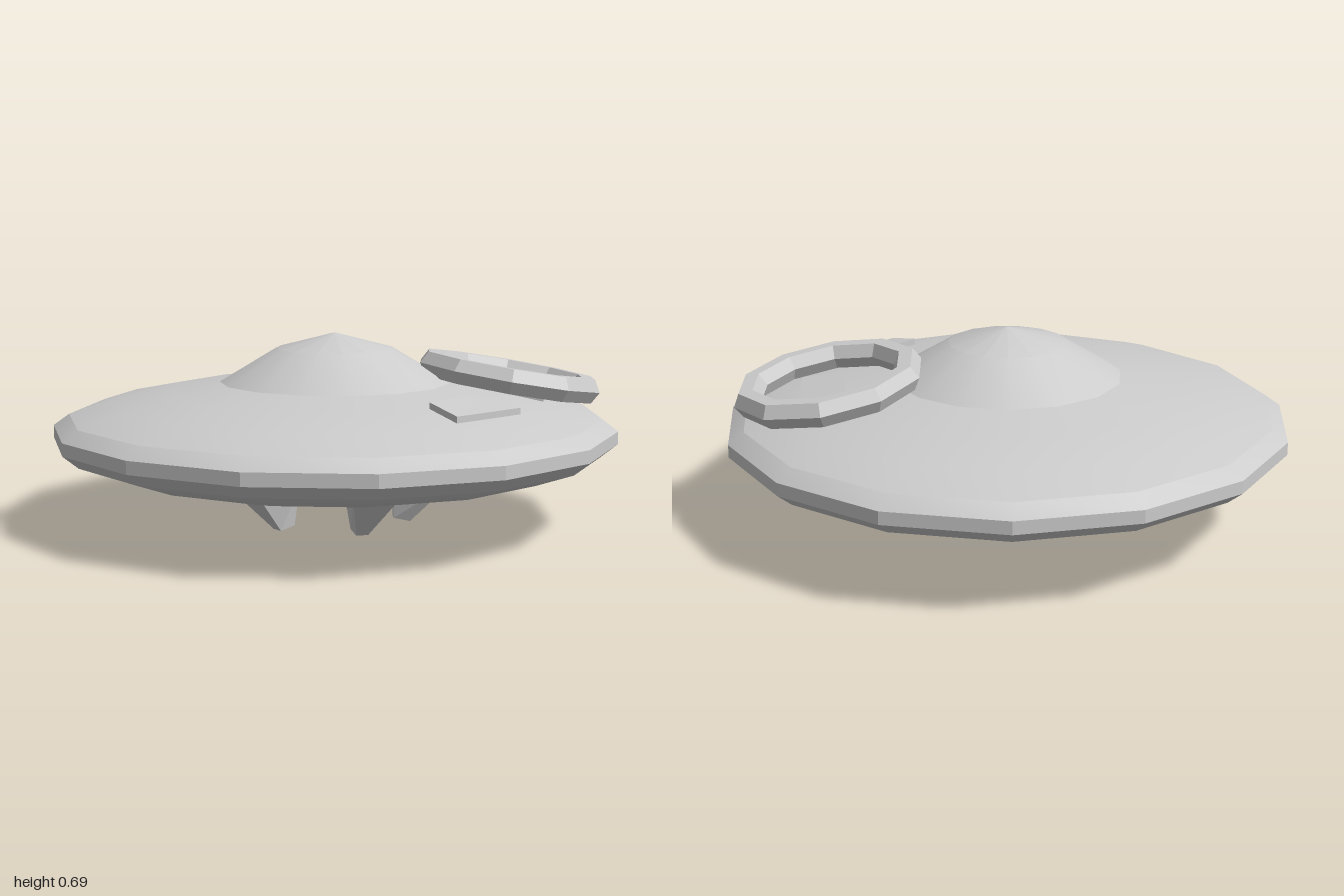
import * as THREE from 'three';
import { toCreasedNormals } from 'three/addons/utils/BufferGeometryUtils.js';

const SIDES = 15;
const CX = -0.011;
const UPPER = [[1.0055, 0.355], [0.95, 0.395], [0.81, 0.44], [0.61, 0.48], [0.41, 0.51]];

// Height of the upper hull at a given plan position
function hullHeight(x, z) {
  const r = Math.hypot(x - CX, z);
  for (let i = 0; i < UPPER.length - 1; i++) {
    const [r0, y0] = UPPER[i], [r1, y1] = UPPER[i + 1];
    if (r <= r0 && r >= r1) return y0 + (y1 - y0) * (r0 - r) / (r0 - r1);
  }
  return 0.51;
}

export function createModel() {
  const group = new THREE.Group();
  const smooth = new THREE.MeshStandardMaterial({ color: 0xcccccc });
  const flat = new THREE.MeshStandardMaterial({ color: 0xcccccc, flatShading: true });

  const add = (name, geometry, material) => {
    const mesh = new THREE.Mesh(geometry, material);
    mesh.name = name;
    group.add(mesh);
    return mesh;
  };

  // Saucer: underside recess, lower hull, rim band, upper hull and dome
  const profile = [
    [0, 0.33], [0.38, 0.33], [0.41, 0.15],
    [0.62, 0.175], [0.81, 0.215], [0.95, 0.265], [1.0055, 0.31],
    ...UPPER,
    [0.21, 0.63], [0, 0.685],
  ].map(([r, y]) => new THREE.Vector2(r, y));
  const saucer = new THREE.LatheGeometry(profile, SIDES, Math.PI / 2);
  add('saucerHull', toCreasedNormals(saucer, 0.3), smooth).position.x = CX;

  // Five tapered landing legs, reaching up into the recess
  const legSections = [
    { y: 0, inner: 0.205, outer: 0.265, wIn: 0.022, wOut: 0.022 },
    { y: 0.15, inner: 0.2, outer: 0.405, wIn: 0.045, wOut: 0.085 },
    { y: 0.33, inner: 0.2, outer: 0.37, wIn: 0.045, wOut: 0.085 },
  ];
  const legGeometry = new THREE.BoxGeometry(2, 2, 2, 1, 2, 1);
  const pos = legGeometry.attributes.position;
  for (let i = 0; i < pos.count; i++) {
    const s = legSections[Math.round(pos.getY(i)) + 1];
    const outside = pos.getX(i) > 0;
    const lift = s.y === 0 && !outside ? 0.012 : 0;
    pos.setXYZ(i, outside ? s.outer : s.inner, s.y + lift,
      Math.sign(pos.getZ(i)) * (outside ? s.wOut : s.wIn));
  }
  for (let k = 0; k < 5; k++) {
    const leg = add('landingLeg' + (k + 1), legGeometry, flat);
    leg.position.x = CX + 0.008;
    leg.rotation.y = -(12 + 72 * k) * Math.PI / 180;
  }

  // Tilted ring resting on the hull
  const ringGeometry = new THREE.TorusGeometry(0.29, 0.05, 6, 10);
  ringGeometry.rotateX(-Math.PI / 2);
  const ring = add('tiltedRing', ringGeometry, flat);
  ring.position.set(0.62, 0.52, 0.077);
  ring.rotation.z = -0.17;

  // Thin hatch panels following the slope; corners go round in plan
  const panels = {
    frontPanel: [[0.39, 0.44], [0.49, 0.56], [0.22, 0.71], [0.17, 0.57]],
    ringPanel: [[0.58, 0], [0.74, 0], [0.67, 0.3], [0.53, 0.24]],
  };
  for (const [name, corners] of Object.entries(panels)) {
    const points = [];
    for (const offset of [-0.02, 0.022]) {
      for (const [x, z] of corners) points.push(x, hullHeight(x, z) + offset, z);
    }
    const index = [4, 6, 5, 4, 7, 6, 0, 1, 2, 0, 2, 3];
    for (let i = 0; i < 4; i++) {
      const j = (i + 1) % 4;
      index.push(i, j + 4, j, i, i + 4, j + 4);
    }
    const geometry = new THREE.BufferGeometry();
    geometry.setAttribute('position', new THREE.Float32BufferAttribute(points, 3));
    geometry.setIndex(index);
    const panel = geometry.toNonIndexed();
    panel.computeVertexNormals();
    add(name, panel, flat);
  }

  return group;
}
